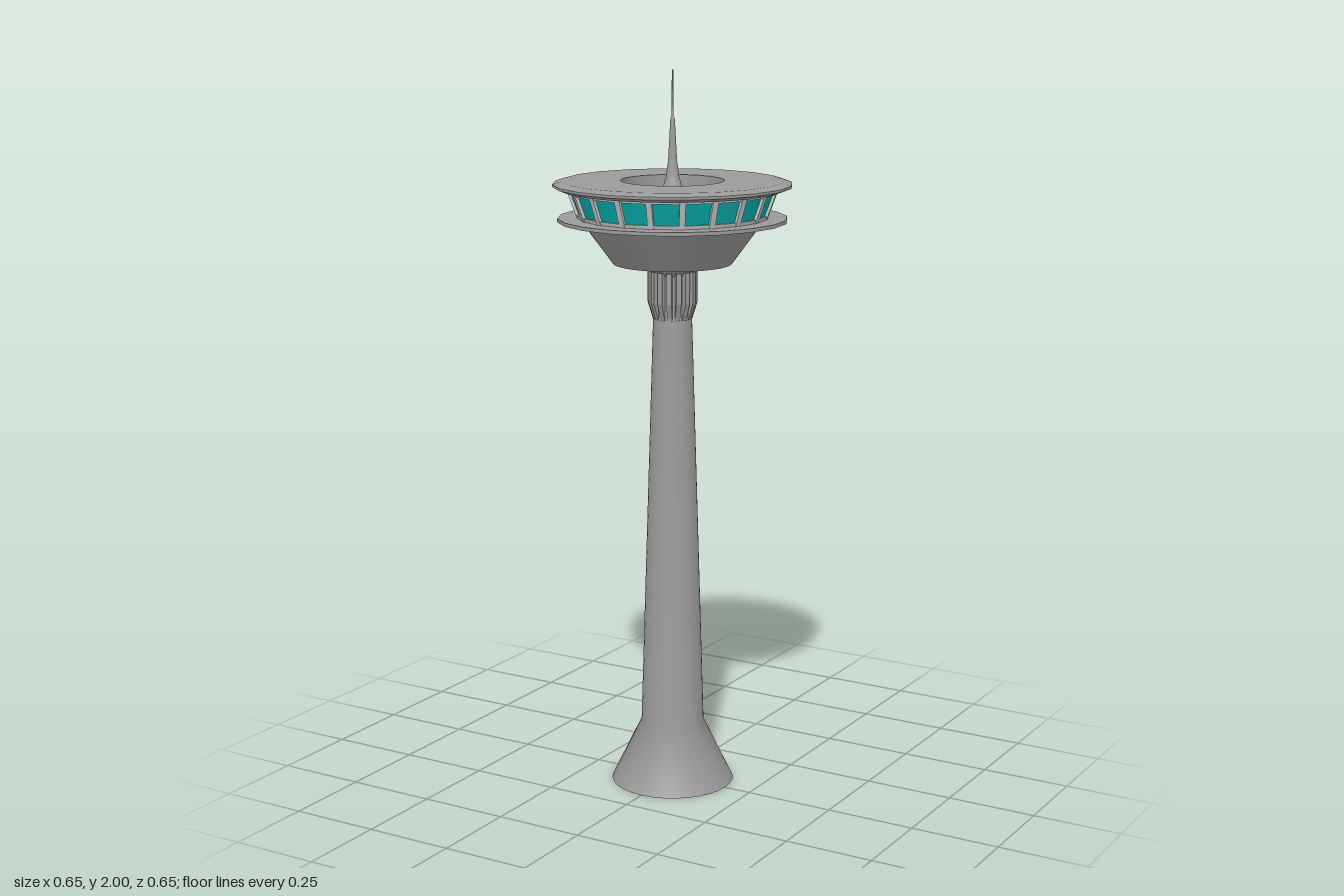
import * as THREE from 'three';
import { mergeGeometries } from 'three/addons/utils/BufferGeometryUtils.js';

const concrete = new THREE.MeshStandardMaterial({ color: 0x9b9b9b });
const paleGrey = new THREE.MeshStandardMaterial({ color: 0xcccccc });
const teal = new THREE.MeshStandardMaterial({ color: 0x08b2b0 });

// Revolves [radius, y] profiles: smooth along each profile, sharp where one meets the next
function turned(name, profiles, sides, material = concrete) {
  const bands = profiles.map((profile) =>
    new THREE.LatheGeometry(profile.map(([r, y]) => new THREE.Vector2(r, y)), sides));
  const mesh = new THREE.Mesh(mergeGeometries(bands), material);
  mesh.name = name;
  return mesh;
}

// Splits a profile into straight bands so that every corner stays sharp
const sharp = (points) => points.slice(1).map((point, i) => [points[i], point]);

// Repeats a geometry around the tower axis
function ring(name, count, geometry, material) {
  const group = new THREE.Group();
  group.name = name + 'Ring';
  for (let i = 0; i < count; i++) {
    const mesh = new THREE.Mesh(geometry, material);
    mesh.name = name;
    mesh.rotation.y = (i / count) * Math.PI * 2;
    group.add(mesh);
  }
  return group;
}

export function createModel() {
  const tower = new THREE.Group();
  tower.name = 'tower';
  const SIDES = 20;

  // Flared foot, tapering shaft and the neck that opens out under the pod
  tower.add(turned('shaft', [
    [[0, 0], [0.172, 0]],
    [[0.172, 0], [0.088, 0.175], [0.053, 1.34], [0.053, 1.45]],
    [[0.053, 1.45], [0.08, 1.482]],
  ], 32));

  // Vertical ribs around the neck
  const ribShape = new THREE.Shape([
    [0.045, 1.32], [0.054, 1.33], [0.068, 1.375], [0.068, 1.46], [0.045, 1.46],
  ].map(([r, y]) => new THREE.Vector2(r, y)));
  const rib = new THREE.ExtrudeGeometry(ribShape, { depth: 0.014, bevelEnabled: false });
  rib.translate(0, 0, -0.007);
  tower.add(ring('neckRib', 16, rib, concrete));

  // Conical underside of the pod
  tower.add(turned('podBase', sharp([[0, 1.48], [0.162, 1.48], [0.25, 1.6]]), 40));

  // Thin walkway disc
  tower.add(turned('walkway', sharp([
    [0.24, 1.595], [0.312, 1.595], [0.312, 1.605], [0.24, 1.605],
  ]), SIDES));

  // Outward leaning window band with pale sill, lintel and mullions
  tower.add(turned('windows', [[[0.252, 1.605], [0.28, 1.682]]], SIDES, teal));
  tower.add(turned('windowSill', sharp([[0.258, 1.604], [0.262, 1.615], [0.25, 1.615]]), SIDES, paleGrey));
  tower.add(turned('windowLintel', sharp([[0.27, 1.673], [0.283, 1.673], [0.287, 1.684]]), SIDES, paleGrey));
  const mullion = new THREE.BoxGeometry(0.016, 0.08, 0.012);
  mullion.rotateX(Math.atan2(0.028, 0.077));
  mullion.translate(0, 1.644, 0.267);
  tower.add(ring('mullion', SIDES, mullion, paleGrey));

  // Broad roof ring with a softly shaded rim, and the pale floor of its sunken well
  tower.add(turned('roof', [
    ...sharp([[0.26, 1.68], [0.3, 1.68], [0.325, 1.69], [0.325, 1.697]]),
    [[0.325, 1.697], [0.3, 1.705], [0.141, 1.705]],
    [[0.141, 1.705], [0.141, 1.67]],
  ], SIDES));
  tower.add(turned('wellFloor', [[[0.141, 1.67], [0, 1.67]]], SIDES, paleGrey));

  // Slender mast
  tower.add(turned('mast', sharp([
    [0.031, 1.67], [0.018, 1.715], [0.012, 1.76], [0.006, 1.87], [0.003, 1.875], [0.002, 2], [0, 2],
  ]), 24));

  return tower;
}
